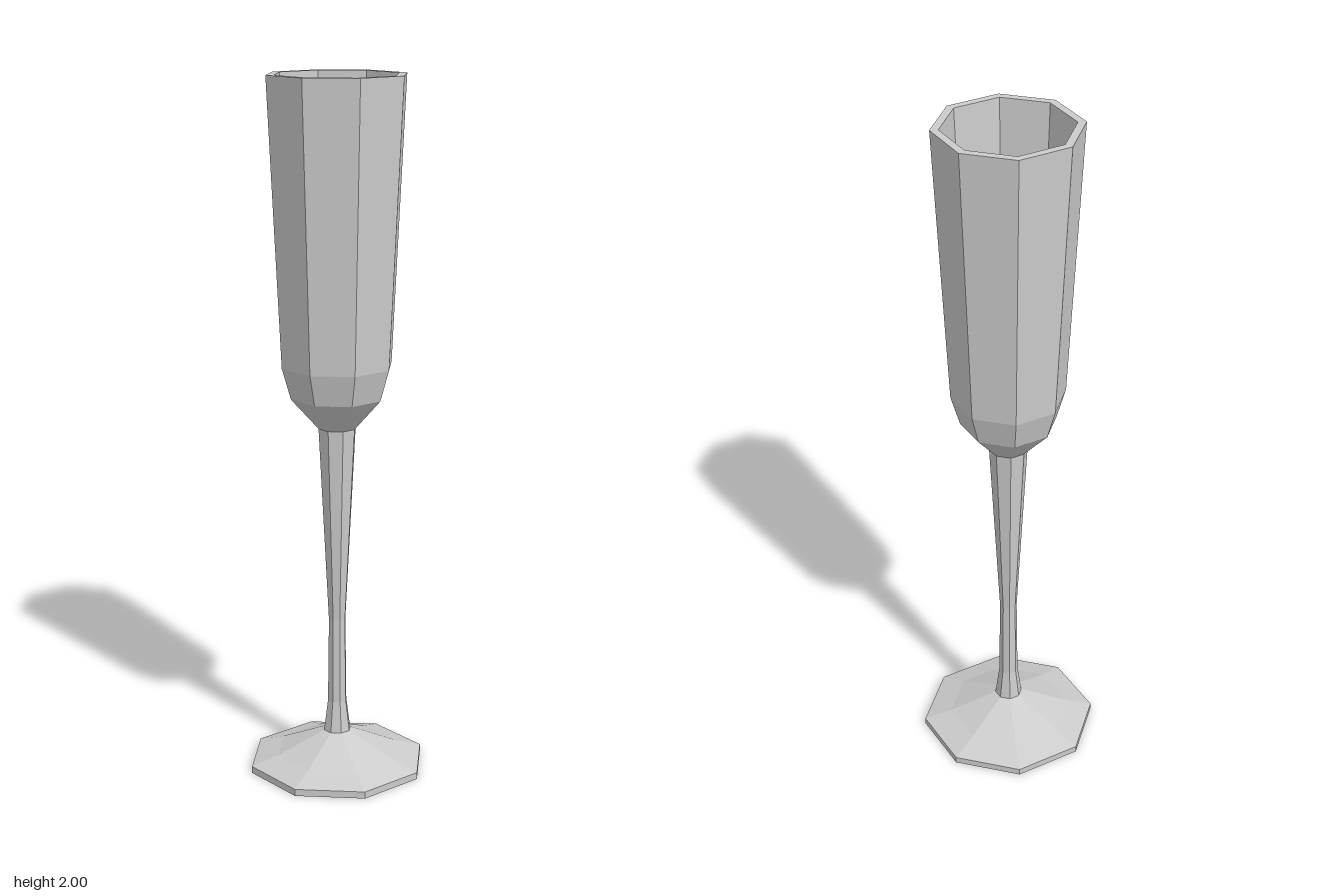
import * as THREE from 'three';

const SIDES = 8;

// Revolve [radius, height] pairs into a faceted octagonal part
function turned(name, profile, material) {
  const points = profile.map(([r, y]) => new THREE.Vector2(r, y));
  const mesh = new THREE.Mesh(new THREE.LatheGeometry(points, SIDES), material);
  mesh.name = name;
  return mesh;
}

export function createModel() {
  const glass = new THREE.MeshStandardMaterial({
    color: 0xcccccc, flatShading: true, side: THREE.DoubleSide,
  });
  const flute = new THREE.Group();
  flute.name = 'champagneFlute';

  // Foot: flat underside, thin rim, shallow slope up to the stem
  flute.add(turned('foot', [
    [0, 0], [0.26, 0], [0.26, 0.02], [0.18, 0.045], [0.04, 0.107],
  ], glass));

  // Stem: flared at the foot, slim in the middle, widening to the bowl
  flute.add(turned('stem', [
    [0.04, 0.107], [0.028, 0.2], [0.025, 0.45], [0.055, 1.02],
  ], glass));

  // Bowl: outer wall, rim, inner wall and flat inner floor
  flute.add(turned('bowl', [
    [0.055, 1.02], [0.135, 1.11], [0.161, 1.2], [0.2, 2],
    [0.177, 2], [0.147, 1.3], [0, 1.3],
  ], glass));

  return flute;
}
